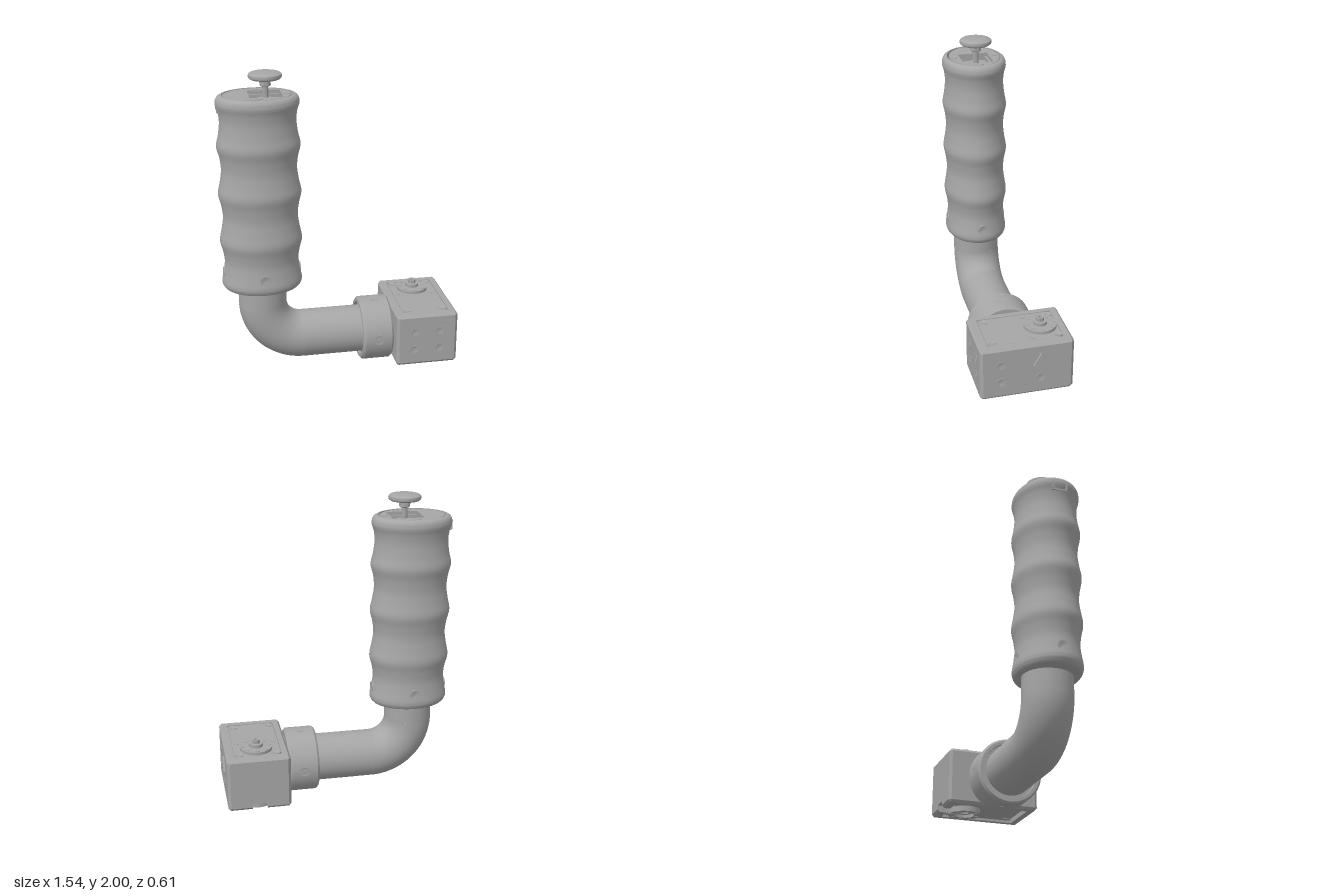
import * as THREE from 'three';
import { toCreasedNormals } from 'three/addons/utils/BufferGeometryUtils.js';

const V2 = (p) => new THREE.Vector2(p[0], p[1]);
const UP = new THREE.Vector3(0, 1, 0);

export function createModel() {
  const model = new THREE.Group();
  const grey = new THREE.MeshStandardMaterial({ color: 0xa6a6a6 });
  grey.name = 'machined grey';

  const add = (parent, name, geo, x = 0, y = 0, z = 0, crease = 0.55) => {
    const mesh = new THREE.Mesh(crease ? toCreasedNormals(geo, crease) : geo, grey);
    mesh.name = name;
    mesh.position.set(x, y, z);
    parent.add(mesh);
    return mesh;
  };
  const group = (name, x, y, z) => {
    const g = new THREE.Group();
    g.name = name;
    g.position.set(x, y, z);
    model.add(g);
    return g;
  };
  const lathe = (pts, segs = 64) => new THREE.LatheGeometry(pts.map(V2), segs);
  const cyl = (r, h, segs = 40) => new THREE.CylinderGeometry(r, r, h, segs);
  // Plan outline (x, -z) raised along y from 0 to h
  const slab = (shape, h) =>
    new THREE.ExtrudeGeometry(shape, { depth: h, bevelEnabled: false, curveSegments: 32 }).rotateX(-Math.PI / 2);
  // Raised rim with a dished socket, facing along dir
  const screw = (parent, x, y, z, dir, r = 0.035) => {
    const geo = lathe([[r, -0.012], [r, 0.003], [0.65 * r, 0.003], [0.5 * r, 0.0008], [0, 0.0008]], 20);
    const m = add(parent, 'screw', geo, x, y, z);
    m.quaternion.setFromUnitVectors(UP, new THREE.Vector3(...dir));
  };

  // ---- Bent pipe ----
  const PX = -0.507, PY = 0.215, PZ = 0.037, PR = 0.157, BEND = 0.26;
  const pipe = group('bentPipe', 0, 0, PZ);
  add(pipe, 'pipeElbow', new THREE.TorusGeometry(BEND, PR, 40, 32, Math.PI / 2).rotateZ(Math.PI),
    PX + BEND, PY + BEND, 0, 0);
  add(pipe, 'pipeUpright', cyl(PR, 0.165, 48), PX, PY + BEND + 0.0825, 0);
  const armStart = PX + BEND;
  add(pipe, 'pipeArm', cyl(PR, 0.36 - armStart, 48).rotateZ(Math.PI / 2), (0.36 + armStart) / 2, PY, 0);

  // ---- Collar joining pipe and box ----
  const collar = group('collar', 0.237, PY, PZ);
  add(collar, 'collarRing', lathe([
    [0.15, -0.085], [0.175, -0.085], [0.178, -0.102], [0.2, -0.102], [0.213, -0.088],
    [0.213, 0.088], [0.2, 0.102], [0.13, 0.102],
  ]).rotateZ(-Math.PI / 2));
  for (const [y, z] of [[1, 0], [-1, 0], [0, 1], [0, -1]]) {
    screw(collar, 0, y * 0.2095, z * 0.2095, [0, y, z]);
  }

  // ---- Ribbed oval grip ----
  const OVAL = 0.8;
  const grip = group('grip', -0.506, 0, 0.039);
  const ribs = new THREE.SplineCurve([
    [0.252, 0.61], [0.26, 0.64], [0.247, 0.71], [0.239, 0.78], [0.248, 0.85], [0.264, 0.92],
    [0.25, 1.0], [0.239, 1.08], [0.248, 1.16], [0.264, 1.235], [0.25, 1.31], [0.239, 1.39],
    [0.246, 1.47], [0.263, 1.545], [0.248, 1.62], [0.239, 1.7], [0.246, 1.765], [0.26, 1.81], [0.257, 1.84],
  ].map(V2)).getPoints(90).map((p) => [p.x, p.y]);
  add(grip, 'gripBody', lathe([
    [0, 0.592], [0.225, 0.592], [0.24, 0.597], ...ribs, [0.248, 1.855], [0.235, 1.863], [0.22, 1.866],
    [0.218, 1.866], [0.218, 1.815], [0, 1.815],
  ], 72).scale(1, 1, OVAL));

  // Inset lid with a square well
  const lid = new THREE.Shape().absellipse(0, 0, 0.212, 0.163, 0, Math.PI * 2);
  const well = new THREE.Path([[-0.055, -0.098], [-0.055, 0.098], [0.15, 0.098], [0.15, -0.098]].map(V2));
  lid.holes.push(well);
  add(grip, 'gripLid', slab(lid, 0.05), 0, 1.814, -0.002);
  for (const s of [-1, 1]) {
    add(grip, 'wellLedge', new THREE.BoxGeometry(0.205, 0.025, 0.014), 0.0475, 1.828, s * 0.091 - 0.002);
  }
  for (const [x, z] of [[0, -0.132], [0, 0.132], [0.185, 0]]) screw(grip, x, 1.864, z - 0.002, [0, 1, 0], 0.022);

  // Four clamp screws round the foot of the grip
  for (const s of [-1, 1]) {
    screw(grip, s * 0.249, 0.7, 0, [s, 0, 0]);
    screw(grip, 0, 0.7, s * 0.199, [0, 0, s]);
  }

  // Small slotted catch on the outer side of the grip
  add(grip, 'catchShelf', new THREE.BoxGeometry(0.05, 0.012, 0.1), -0.225, 1.77, 0);
  for (const s of [-1, 1]) {
    add(grip, 'catchSide', new THREE.BoxGeometry(0.03, 0.06, 0.012), -0.24, 1.8, s * 0.044);
  }

  // ---- Push button ----
  const button = group('pushButton', -0.455, 0, 0.037);
  add(button, 'buttonNut', cyl(0.055, 0.02, 32), 0, 1.825, 0);
  add(button, 'buttonStem', lathe([
    [0.019, 1.815], [0.019, 1.915], [0.03, 1.915], [0.035, 1.92], [0.035, 1.958],
  ], 32));
  add(button, 'buttonHead', lathe([
    [0, 1.955], [0.075, 1.955], [0.092, 1.959], [0.102, 1.967], [0.105, 1.978],
    [0.102, 1.989], [0.092, 1.996], [0.075, 2.0], [0, 2.0],
  ], 48));

  // ---- Actuator box ----
  const HX = 0.206, HZ = 0.302, C = 0.018, RX = 0.155, RZ = 0.245, NW = 0.05;
  const box = group('actuatorBox', 0.551, 0, 0);
  const outer = [
    [-HX + C, HZ], [-HX, HZ - C], [-HX, -HZ + C], [-HX + C, -HZ],
    [HX - C, -HZ], [HX, -HZ + C], [HX, HZ - C], [HX - C, HZ],
  ];
  const solid = new THREE.Shape(outer.map(V2));
  const topRim = new THREE.Shape(outer.map(V2));
  topRim.holes.push(new THREE.Path([[-RX, -RZ], [-RX, RZ], [RX, RZ], [RX, -RZ]].map(V2)));
  const notchedRim = new THREE.Shape([
    ...outer, [NW, HZ], [NW, RZ], [RX, RZ], [RX, -RZ], [-RX, -RZ], [-RX, RZ], [-NW, RZ], [-NW, HZ],
  ].map(V2));
  // Pull the outer outline inward at one height to form a chamfer
  const chamfer = (geo, edgeY) => {
    const p = geo.attributes.position, ix = HX - 0.015, iz = HZ - 0.015;
    for (let i = 0; i < p.count; i++) {
      if (Math.abs(p.getY(i) - edgeY) > 1e-4) continue;
      p.setX(i, THREE.MathUtils.clamp(p.getX(i), -ix, ix));
      p.setZ(i, THREE.MathUtils.clamp(p.getZ(i), -iz, iz));
    }
    return geo;
  };
  add(box, 'boxBody', slab(solid, 0.3), 0, 0.083, 0);
  add(box, 'boxTopRim', chamfer(slab(topRim, 0.017), 0.017), 0, 0.383, 0);
  add(box, 'boxLowerRim', slab(notchedRim, 0.026), 0, 0.057, 0);
  add(box, 'boxBottomRim', chamfer(slab(notchedRim, 0.017), 0), 0, 0.04, 0);

  // Cover plates with rounded corners, top and bottom
  const plate = (hx, hz, r) => {
    const s = new THREE.Shape();
    s.absarc(hx - r, hz - r, r, 0, Math.PI / 2);
    s.absarc(-hx + r, hz - r, r, Math.PI / 2, Math.PI);
    s.absarc(-hx + r, -hz + r, r, Math.PI, Math.PI * 1.5);
    s.absarc(hx - r, -hz + r, r, Math.PI * 1.5, Math.PI * 2);
    return s;
  };
  add(box, 'topPlate', slab(plate(RX - 0.004, RZ - 0.004, 0.03), 0.018), 0, 0.38, 0);
  add(box, 'bottomPlate', slab(plate(RX - 0.004, RZ - 0.02, 0.03), 0.03), 0, 0.055, 0);
  for (const sx of [-1, 1]) {
    for (const z of [-0.217, 0.207]) {
      screw(box, sx * 0.118, 0.398, z, [0, 1, 0], 0.027);
      screw(box, sx * 0.118, 0.055, z * 0.97, [0, -1, 0], 0.027);
    }
    screw(box, sx * 0.118, 0.398, -0.05, [0, 1, 0], 0.015);
    for (const y of [0.155, 0.28]) screw(box, sx * 0.085, y, HZ, [0, 0, 1], 0.031);
  }

  // Rotary output on top, idler ring underneath
  const HZC = -0.135;
  add(box, 'outputHorn', lathe([
    [0.105, 0.38], [0.105, 0.418], [0.045, 0.418], [0.045, 0.44], [0.025, 0.44],
    [0.025, 0.465], [0.012, 0.465], [0.012, 0.45], [0, 0.45],
  ], 48), 0, 0, HZC);
  add(box, 'idlerRing', lathe([
    [0, 0.052], [0.03, 0.052], [0.03, 0.035], [0.05, 0.035], [0.05, 0.045], [0.065, 0.045],
    [0.065, 0.02], [0.105, 0.02], [0.105, 0.08],
  ], 48), 0, 0, HZC);
  for (let i = 0; i < 8; i++) {
    const a = (i * Math.PI) / 4, x = 0.085 * Math.cos(a), z = HZC + 0.085 * Math.sin(a);
    screw(box, x, 0.418, z, [0, 1, 0], 0.012);
    screw(box, x, 0.02, z, [0, -1, 0], 0.012);
  }

  // Outer end: three screws and a raised triangle
  for (const [y, z] of [[0.28, 0.17], [0.155, 0.17], [0.155, -0.086]]) screw(box, HX, y, z, [1, 0, 0], 0.031);
  add(box, 'triangleMark',
    new THREE.CylinderGeometry(0.06, 0.06, 0.026, 3, 1, false, -Math.PI / 2).rotateZ(-Math.PI / 2),
    HX, 0.28, -0.087);

  return model;
}
